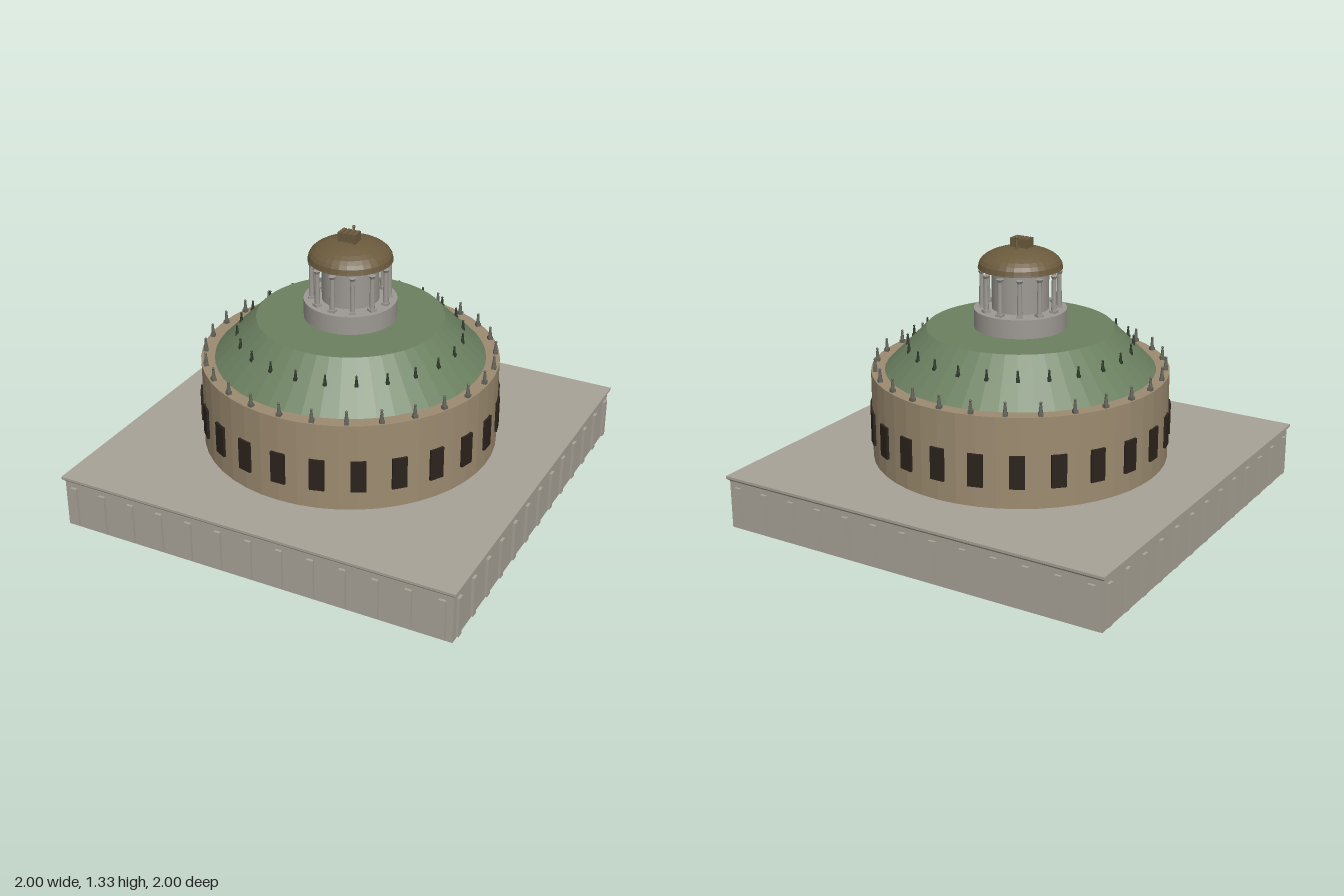
import * as THREE from 'three';

const mat = (color, flatShading = false, side = THREE.FrontSide) =>
  new THREE.MeshStandardMaterial({ color, flatShading, side });

const stone = mat(0xa8a296, true, THREE.DoubleSide);
const brick = mat(0x9c8b70, true);
const copper = mat(0x6b8060, true);
const glass = mat(0x2c231c);
const marble = mat(0x9d9993);
const bronze = mat(0x6b5b3e, true, THREE.DoubleSide);
const statueGrey = mat(0x66665e);
const statueDark = mat(0x2f3a2c);

function add(parent, name, geometry, material, x = 0, y = 0, z = 0) {
  const mesh = new THREE.Mesh(geometry, material);
  mesh.name = name;
  mesh.position.set(x, y, z);
  parent.add(mesh);
  return mesh;
}

// Upright drum or frustum between two heights
function drum(parent, name, material, rBottom, rTop, y0, y1, sides = 48) {
  const g = new THREE.CylinderGeometry(rTop, rBottom, y1 - y0, sides);
  return add(parent, name, g, material, 0, (y0 + y1) / 2, 0);
}

// Open square band given by half widths
function squareBand(parent, name, half0, half1, y0, y1) {
  const g = new THREE.CylinderGeometry(half1 * Math.SQRT2, half0 * Math.SQRT2, y1 - y0, 4, 1, true);
  g.rotateY(Math.PI / 4);
  add(parent, name, g, stone, 0, (y0 + y1) / 2, 0);
}

// Places count copies around the y axis, each facing outward
function ring(parent, name, count, radius, y, make) {
  for (let i = 0; i < count; i++) {
    const a = (i / count) * Math.PI * 2;
    const item = new THREE.Group();
    item.name = name;
    item.position.set(Math.sin(a) * radius, y, Math.cos(a) * radius);
    item.rotation.y = a;
    make(item);
    parent.add(item);
  }
}

// Small standing figure on a plinth
function statue(parent, h, material) {
  const w = h * 0.32;
  add(parent, 'plinth', new THREE.BoxGeometry(w, h * 0.22, w), material, 0, h * 0.11, 0);
  add(parent, 'body', new THREE.CylinderGeometry(w * 0.25, w * 0.45, h * 0.58, 8), material, 0, h * 0.51, 0);
  add(parent, 'head', new THREE.SphereGeometry(h * 0.1, 8, 6), material, 0, h * 0.89, 0);
}

export function createModel() {
  const model = new THREE.Group();
  model.name = 'mausoleum';

  // Square podium, hollow below
  const podium = new THREE.Group();
  podium.name = 'podium';
  model.add(podium);
  squareBand(podium, 'podiumWall', 0.985, 0.985, 0, 0.235);
  squareBand(podium, 'corniceFlare', 0.985, 0.998, 0.235, 0.248);
  squareBand(podium, 'corniceBand', 0.998, 0.998, 0.248, 0.26);
  add(podium, 'deck', new THREE.BoxGeometry(1.996, 0.006, 1.996), stone, 0, 0.257, 0);

  // Pilasters on all four walls
  const pilaster = new THREE.BoxGeometry(0.032, 0.198, 0.015);
  for (let side = 0; side < 4; side++) {
    const row = new THREE.Group();
    row.name = 'pilasterRow';
    row.rotation.y = (side * Math.PI) / 2;
    for (let i = 0; i < 13; i++)
      add(row, 'pilaster', pilaster, stone, (i - 6) * 0.156, 0.111, 0.9905);
    podium.add(row);
  }

  // Main round body with windows
  drum(model, 'mainDrum', brick, 0.71, 0.71, 0.25, 0.69);
  const windowPane = new THREE.BoxGeometry(0.07, 0.155, 0.016);
  ring(model, 'window', 24, 0.712, 0.435, g => add(g, 'pane', windowPane, glass));

  // Sloped roof
  drum(model, 'roof', copper, 0.645, 0.445, 0.69, 0.89);

  // Two rings of statues
  ring(model, 'parapetStatue', 28, 0.69, 0.69, g => statue(g, 0.068, statueGrey));
  ring(model, 'roofStatue', 24, 0.535, 0.792, g => statue(g, 0.055, statueDark));

  // Lantern: base, core and colonnade
  drum(model, 'lanternBase', marble, 0.22, 0.22, 0.89, 0.98);
  drum(model, 'lanternCore', marble, 0.135, 0.135, 0.98, 1.165, 32);
  ring(model, 'lanternColumn', 12, 0.182, 0.98, g => {
    add(g, 'base', new THREE.BoxGeometry(0.032, 0.012, 0.032), marble, 0, 0.006, 0);
    add(g, 'shaft', new THREE.CylinderGeometry(0.01, 0.013, 0.155, 10), marble, 0, 0.089, 0);
    add(g, 'capital', new THREE.CylinderGeometry(0.018, 0.01, 0.014, 10), marble, 0, 0.17, 0);
  });

  // Lantern dome
  const profile = [new THREE.Vector2(0, 1.175), new THREE.Vector2(0.2, 1.175)];
  for (let i = 0; i <= 8; i++) {
    const a = (i / 8) * (Math.PI / 2);
    profile.push(new THREE.Vector2(0.198 * Math.cos(a), 1.183 + 0.09 * Math.sin(a)));
  }
  add(model, 'lanternDome', new THREE.LatheGeometry(profile, 32), bronze);

  // Four horses and driver on top
  const chariot = new THREE.Group();
  chariot.name = 'chariotGroup';
  model.add(chariot);
  for (let i = 0; i < 4; i++)
    add(chariot, 'horse', new THREE.BoxGeometry(0.018, 0.046, 0.062), bronze, (i - 1.5) * 0.024, 1.291, 0.012);
  add(chariot, 'driver', new THREE.CylinderGeometry(0.006, 0.01, 0.05, 8), bronze, 0, 1.292, -0.033);
  add(chariot, 'driverHead', new THREE.SphereGeometry(0.008, 8, 6), bronze, 0, 1.322, -0.033);

  return model;
}
